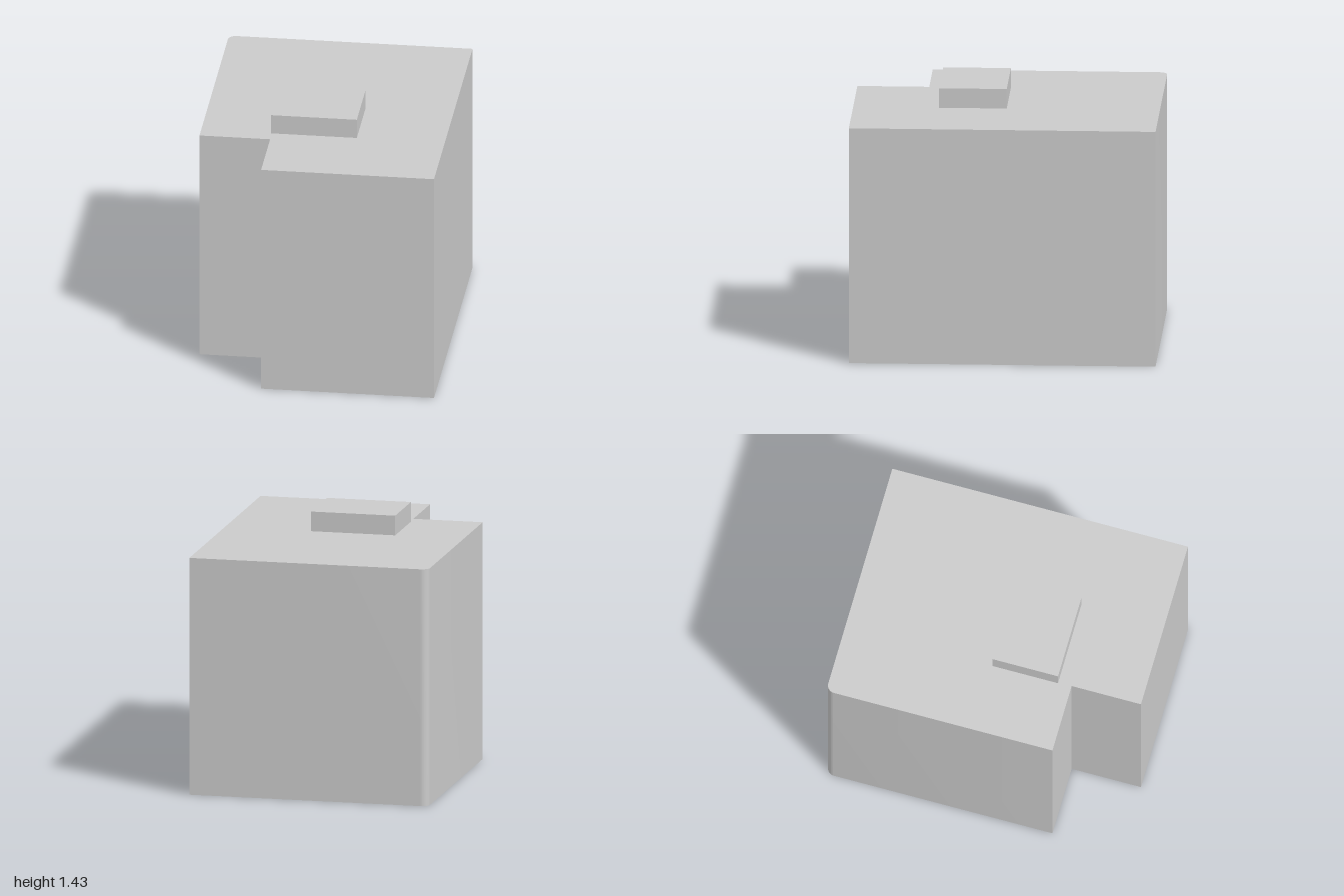
import * as THREE from 'three';
import { toCreasedNormals } from 'three/addons/utils/BufferGeometryUtils.js';

const BODY_HEIGHT = 1.325;
const PAD_HEIGHT = 0.11;
const CORNER_RADIUS = 0.045;

export function createModel() {
  const model = new THREE.Group();
  const material = new THREE.MeshStandardMaterial({ color: 0xcccccc });

  // The whole building is turned 18 degrees on its plot
  const building = new THREE.Group();
  building.name = 'building';
  building.rotation.y = -THREE.MathUtils.degToRad(18);
  model.add(building);

  // Footprint (x, -z): notched front corner, one rounded back corner
  const left = -0.735, right = 0.609, back = 0.828, front = -0.853;
  const notchX = -0.345, notchY = -0.459, r = CORNER_RADIUS;
  const footprint = new THREE.Shape();
  footprint.moveTo(right, front);
  footprint.lineTo(right, back);
  footprint.lineTo(left + r, back);
  footprint.absarc(left + r, back - r, r, Math.PI / 2, Math.PI, false);
  footprint.lineTo(left, notchY);
  footprint.lineTo(notchX, notchY);
  footprint.lineTo(notchX, front);
  footprint.closePath();

  const bodyGeometry = new THREE.ExtrudeGeometry(footprint, {
    depth: BODY_HEIGHT, bevelEnabled: false, curveSegments: 8,
  });
  bodyGeometry.rotateX(-Math.PI / 2);
  const body = new THREE.Mesh(toCreasedNormals(bodyGeometry, 0.5), material);
  body.name = 'buildingBody';
  building.add(body);

  // Low rooftop block
  const roofBlock = new THREE.Mesh(new THREE.BoxGeometry(0.473, PAD_HEIGHT, 0.371), material);
  roofBlock.name = 'roofBlock';
  roofBlock.position.set(-0.113, BODY_HEIGHT + PAD_HEIGHT / 2, 0.197);
  building.add(roofBlock);

  return model;
}
